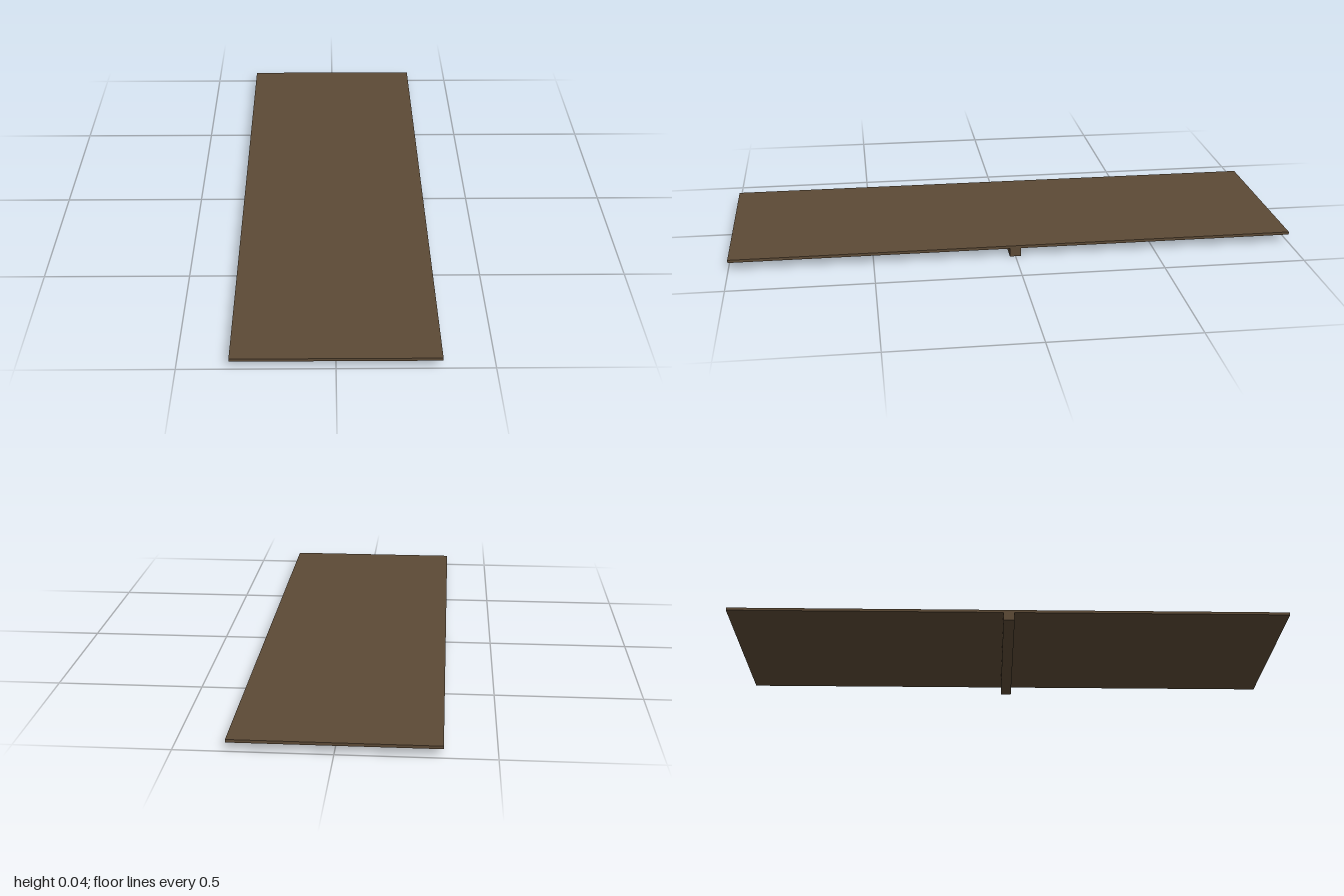
import * as THREE from 'three';

const WIDTH = 0.666, LENGTH = 2, TOP = 0.04, THICK = 0.01, PLANKS = 4;

export function createModel() {
  const model = new THREE.Group();
  model.name = 'plankPlatform';
  const wood = new THREE.MeshStandardMaterial({ color: 0x5c4a36 });

  function addBox(name, w, h, d, x, y) {
    const mesh = new THREE.Mesh(new THREE.BoxGeometry(w, h, d), wood);
    mesh.name = name;
    mesh.position.set(x, y, 0);
    model.add(mesh);
  }

  // Long planks laid edge to edge
  const plankWidth = WIDTH / PLANKS;
  for (let i = 0; i < PLANKS; i++) {
    const x = (i - (PLANKS - 1) / 2) * plankWidth;
    addBox(`plank${i + 1}`, plankWidth, THICK, LENGTH, x, TOP - THICK / 2);
  }

  // Cross beam under the middle
  const beamHeight = TOP - THICK;
  addBox('crossBeam', WIDTH, beamHeight, 0.04, 0, beamHeight / 2);

  return model;
}
